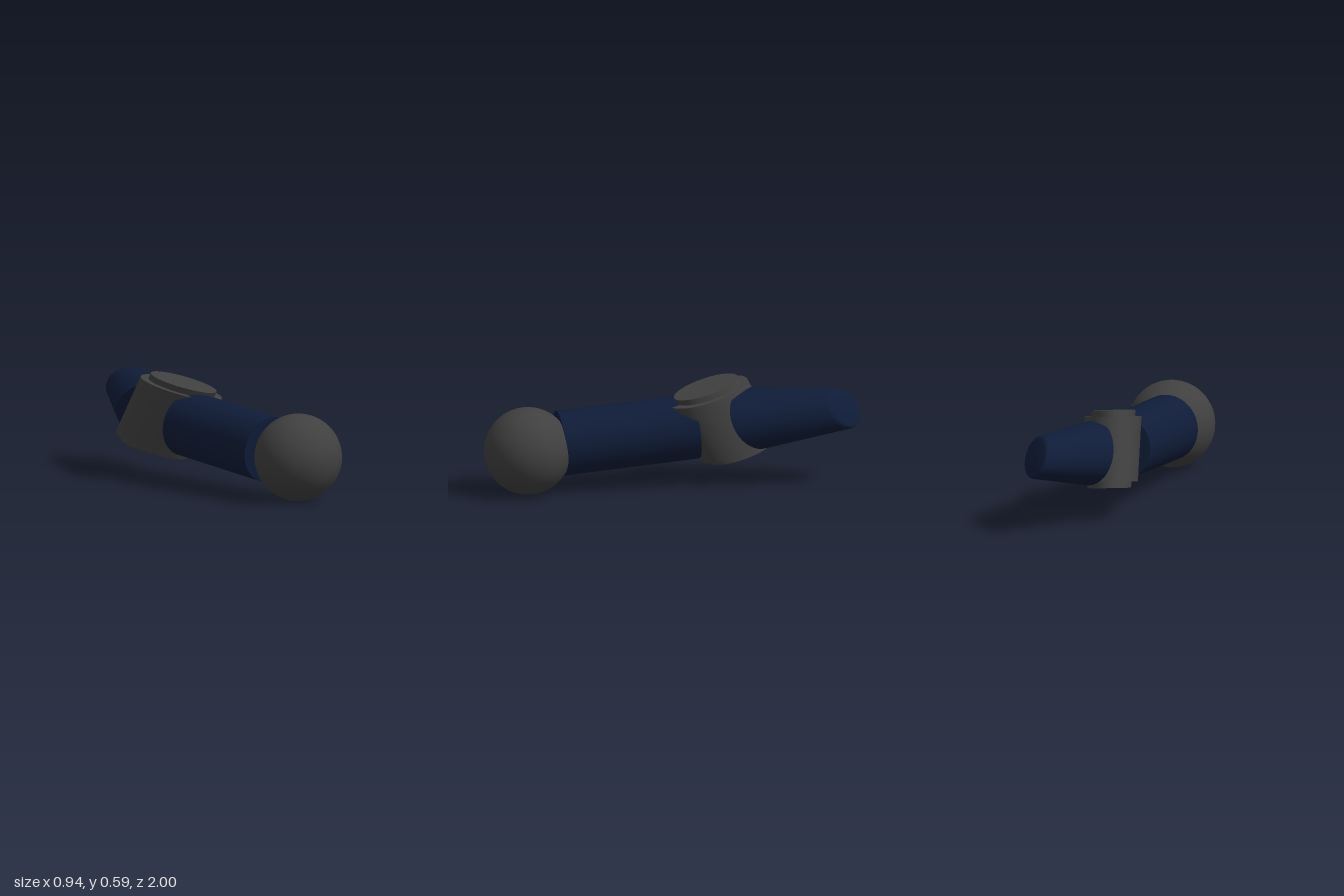
import * as THREE from 'three';
import { toCreasedNormals } from 'three/addons/utils/BufferGeometryUtils.js';

const v3 = (a) => new THREE.Vector3(...a);

// Solid between two elliptical ends. Each end has a centre c and two half-axes p and q.
// The profile is a list of [radius, t] with t running from 0 at the start to 1 at the end.
function limb(start, end, profile) {
  const geo = new THREE.LatheGeometry(profile.map(([r, t]) => new THREE.Vector2(r, t)), 48);
  geo.deleteAttribute('uv');
  const [c0, p0, q0] = [v3(start.c), v3(start.p), v3(start.q)];
  const [c1, p1, q1] = [v3(end.c), v3(end.p), v3(end.q)];
  // keep the frame right-handed so that faces point outwards
  const axis = c1.clone().sub(c0);
  if (p0.clone().cross(axis).dot(q0) < 0) { q0.negate(); q1.negate(); }
  const pos = geo.attributes.position;
  const out = new THREE.Vector3();
  for (let i = 0; i < pos.count; i++) {
    const x = pos.getX(i), t = pos.getY(i), z = pos.getZ(i);
    out.lerpVectors(c0, c1, t)
      .addScaledVector(p0.clone().lerp(p1, t), x)
      .addScaledVector(q0.clone().lerp(q1, t), z);
    pos.setXYZ(i, out.x, out.y, out.z);
  }
  return toCreasedNormals(geo, 0.6);
}

const FLAT = [[0, 0], [1, 0], [1, 1], [0, 1]];

export function createModel() {
  const group = new THREE.Group();
  const grey = new THREE.MeshStandardMaterial({ color: 0x404040 });
  const navy = new THREE.MeshStandardMaterial({ color: 0x0f1c38 });
  const add = (name, geometry, material) => {
    const mesh = new THREE.Mesh(geometry, material);
    mesh.name = name;
    group.add(mesh);
    return mesh;
  };

  // ball joint
  add('shoulderBall', new THREE.SphereGeometry(0.241, 40, 28), grey)
    .position.set(0.23, 0.243, 0.76);

  // straight upper segment
  add('upperSegment', limb(
    { c: [0.12, 0.267, 0.597], p: [0.168, 0, -0.064], q: [0.01, 0.181, 0.015] },
    { c: [-0.146, 0.325, -0.105], p: [0.166, 0, -0.064], q: [0.01, 0.178, 0.02] },
    FLAT), navy);

  // slanted oval hinge: wide drum with a longer, narrower pin through it
  const hinge = (name, length, p, q) => {
    const centre = v3([-0.215, 0.354, -0.255]);
    const half = v3([0.06, 0.194, 0.087]).multiplyScalar(length);
    add(name, limb(
      { c: centre.clone().sub(half).toArray(), p, q },
      { c: centre.clone().add(half).toArray(), p, q },
      FLAT), grey);
  };
  hinge('hingeDrum', 0.84, [0.17, -0.055, 0.17], [0.11, 0, -0.11]);
  hinge('hingePin', 1, [0.138, -0.045, 0.14], [0.085, 0, -0.085]);

  // tapering lower segment with a softened tip
  add('lowerSegment', limb(
    { c: [-0.222, 0.366, -0.43], p: [0.222, 0, 0.083], q: [0, 0.165, 0.07] },
    { c: [-0.25, 0.435, -0.933], p: [0.115, 0, 0.052], q: [0, 0.107, 0.053] },
    [[0, 0], [1, 0], [1, 0.95], [0.985, 0.975], [0.94, 0.993], [0.87, 1], [0, 1]]), navy);

  return group;
}
